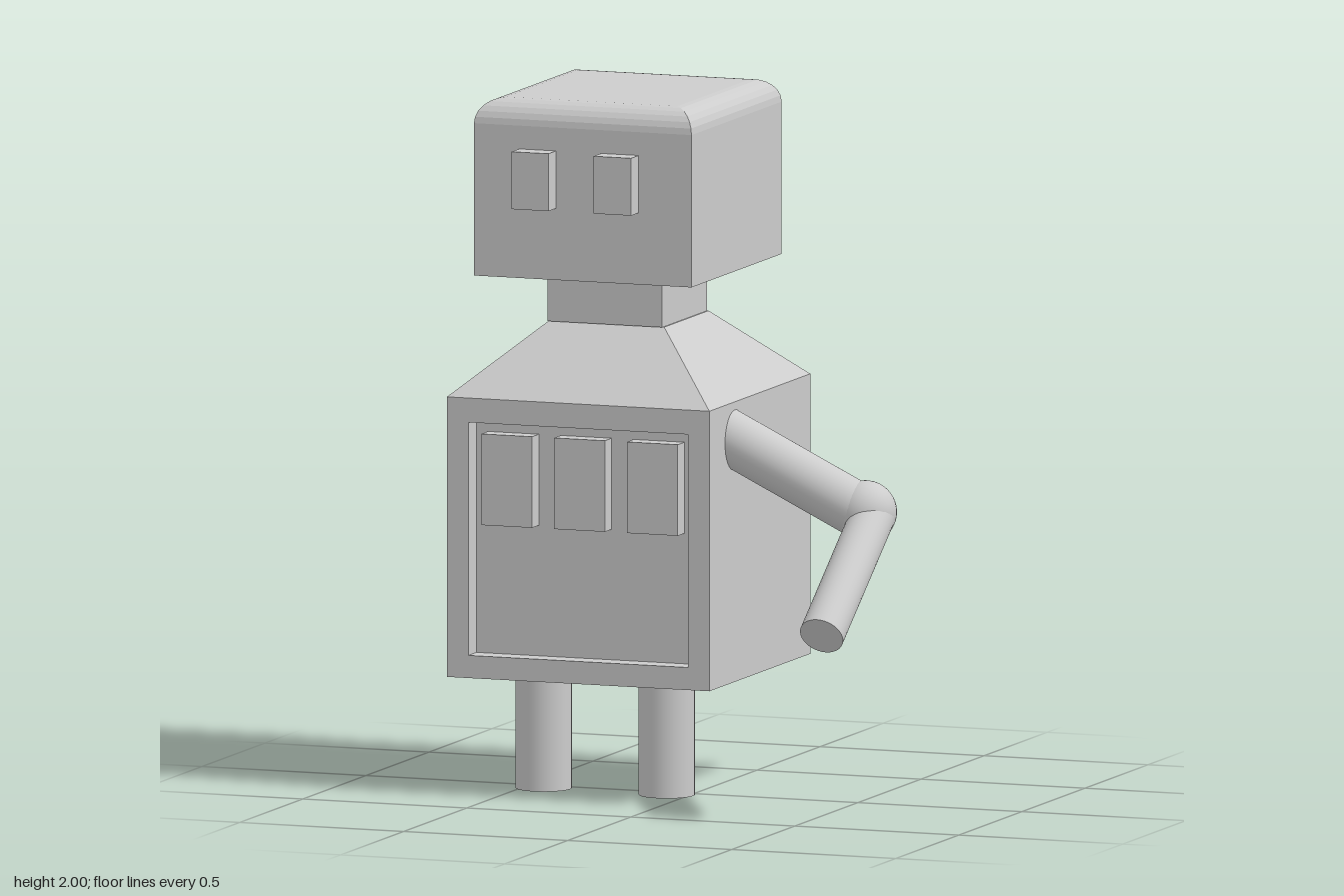
import * as THREE from 'three';

const grey = new THREE.MeshStandardMaterial({ color: 0xcccccc });
grey.name = 'lightGrey';

export function createModel() {
  const model = new THREE.Group();
  model.name = 'robot';

  const add = (name, geometry) => {
    const mesh = new THREE.Mesh(geometry, grey);
    mesh.name = name;
    model.add(mesh);
    return mesh;
  };

  // Box given by its limits on each axis
  const box = (name, x0, x1, y0, y1, z0, z1) =>
    add(name, new THREE.BoxGeometry(x1 - x0, y1 - y0, z1 - z0))
      .position.set((x0 + x1) / 2, (y0 + y1) / 2, (z0 + z1) / 2);

  // Cylinder between two points
  const rod = (name, a, b, r) => {
    const from = new THREE.Vector3(...a), to = new THREE.Vector3(...b);
    const dir = to.clone().sub(from);
    const mesh = add(name, new THREE.CylinderGeometry(r, r, dir.length(), 32));
    mesh.position.copy(from).add(to).multiplyScalar(0.5);
    mesh.quaternion.setFromUnitVectors(new THREE.Vector3(0, 1, 0), dir.normalize());
  };

  // Sharp-cornered rectangular loft; each section is [inset, height]
  const loft = (name, x0, x1, z0, z1, sections) => {
    const rings = sections.map(([i, y]) => [
      [x0 + i, y, z1 - i], [x1 - i, y, z1 - i], [x1 - i, y, z0 + i], [x0 + i, y, z0 + i]]);
    const points = [];
    const quad = (a, b, c, d) => points.push(...a, ...b, ...c, ...a, ...c, ...d);
    for (let r = 0; r + 1 < rings.length; r++) {
      for (let k = 0; k < 4; k++) {
        const n = (k + 1) % 4;
        quad(rings[r][k], rings[r][n], rings[r + 1][n], rings[r + 1][k]);
      }
    }
    const [a, b, c, d] = rings[0];
    quad(d, c, b, a);
    quad(...rings[rings.length - 1]);
    const geometry = new THREE.BufferGeometry();
    geometry.setAttribute('position', new THREE.Float32BufferAttribute(points, 3));
    geometry.computeVertexNormals();
    add(name, geometry);
  };

  // Torso: solid block with a framed recess on the front
  const recess = 0.065;
  box('torso', -0.645, 0.155, 0.34, 1.145, -0.52, 0.28 - recess);
  const rect = (target, x0, x1, y0, y1) =>
    target.moveTo(x0, y0).lineTo(x1, y0).lineTo(x1, y1).lineTo(x0, y1).closePath();
  const frame = rect(new THREE.Shape(), -0.645, 0.155, 0.34, 1.145);
  frame.holes.push(rect(new THREE.Path(), -0.58, 0.09, 0.405, 1.075));
  add('chestFrame', new THREE.ExtrudeGeometry(frame, { depth: recess, bevelEnabled: false }))
    .position.z = 0.28 - recess;

  // Three raised chest panels
  for (let i = 0; i < 3; i++) {
    const x = -0.545 + i * 0.222;
    box('chestPanel' + (i + 1), x, x + 0.155, 0.78, 1.042, 0.215, 0.268);
  }

  // Sloping shoulders and neck
  loft('shoulders', -0.645, 0.155, -0.52, 0.28, [[0, 1.145], [0.224, 1.345]]);
  box('neck', -0.423, -0.073, 1.345, 1.492, -0.293, 0.062);

  // Head with rounded upper edges and sharp vertical corners
  const r = 0.07, headSections = [[0, 1.492]];
  for (let i = 0; i <= 6; i++) {
    const t = (i / 6) * Math.PI / 2;
    headSections.push([r * (1 - Math.cos(t)), 2 - r + r * Math.sin(t)]);
  }
  loft('head', -0.578, 0.085, -0.475, 0.24, headSections);

  // Eyes
  box('rightEye', -0.44, -0.328, 1.698, 1.863, 0.23, 0.3);
  box('leftEye', -0.19, -0.076, 1.698, 1.863, 0.23, 0.3);

  // Legs
  rod('rightLeg', [-0.44, 0, 0.045], [-0.44, 0.35, 0.045], 0.08);
  rod('leftLeg', [-0.065, 0, 0.045], [-0.065, 0.35, 0.045], 0.08);

  // Single bent arm on the left side
  rod('upperArm', [0.1, 1.062, 0.078], [0.547, 0.845, 0.078], 0.078);
  add('elbow', new THREE.SphereGeometry(0.09, 32, 20)).position.set(0.55, 0.848, 0.07);
  rod('forearm', [0.575, 0.84, 0.075], [0.575, 0.548, 0.483], 0.064);

  return model;
}
